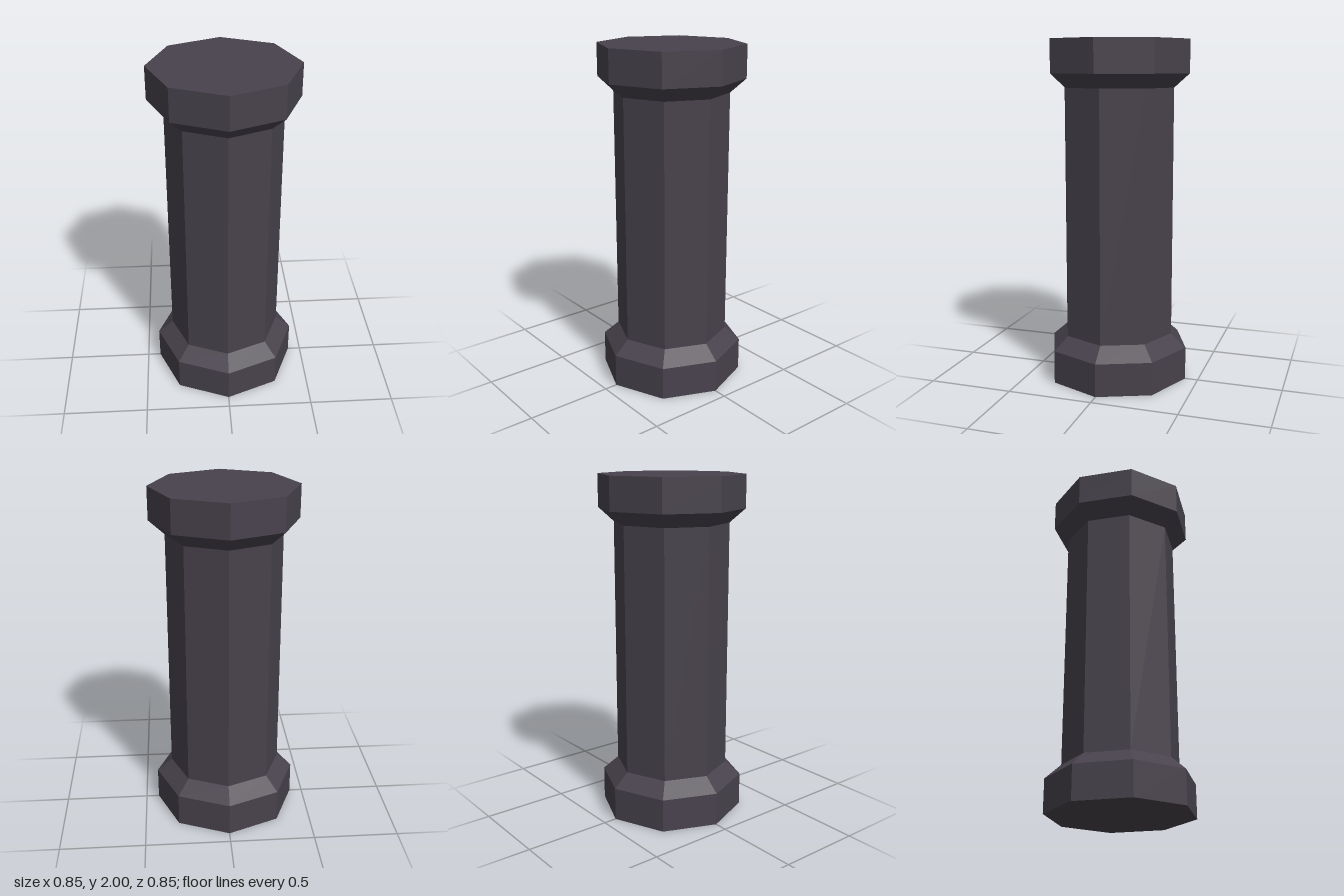
import * as THREE from 'three';

const SIDES = 8;
const WIDE = 0.423, NARROW = 0.333;

export function createModel() {
  const group = new THREE.Group();
  group.name = 'octagonalPillar';

  const stone = new THREE.MeshStandardMaterial({ color: 0x48424c });
  stone.name = 'dark stone';
  stone.flatShading = true;

  // Eight-sided section between two heights; its corners lie on the x and z axes
  function section(name, y0, y1, bottomRadius, topRadius) {
    const geometry = new THREE.CylinderGeometry(topRadius, bottomRadius, y1 - y0, SIDES, 1, true);
    const mesh = new THREE.Mesh(geometry, stone);
    mesh.name = name;
    mesh.position.y = (y0 + y1) / 2;
    group.add(mesh);
  }

  // Flat octagonal end face, looking up or down
  function endFace(name, y, tilt) {
    const mesh = new THREE.Mesh(new THREE.CircleGeometry(WIDE, SIDES), stone);
    mesh.name = name;
    mesh.position.y = y;
    mesh.rotation.x = tilt;
    group.add(mesh);
  }

  // Base, shaft and capital
  endFace('baseUnderside', 0, Math.PI / 2);
  section('base', 0, 0.195, WIDE, WIDE);
  section('baseBevel', 0.195, 0.275, WIDE, NARROW);
  section('shaft', 0.275, 1.73, NARROW, NARROW);
  section('capitalBevel', 1.73, 1.81, NARROW, WIDE);
  section('capital', 1.81, 2, WIDE, WIDE);
  endFace('capitalTop', 2, -Math.PI / 2);

  return group;
}
